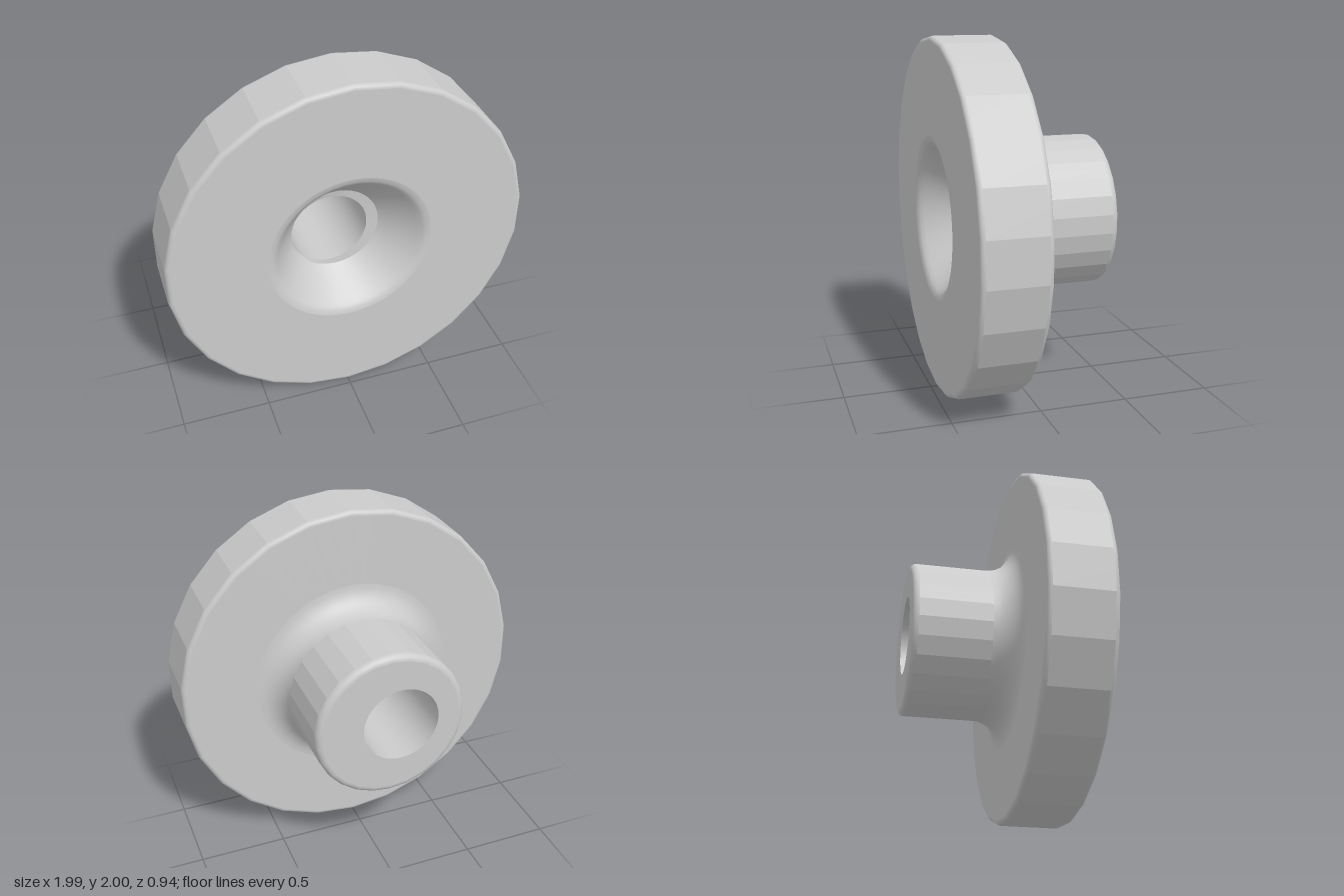
import * as THREE from 'three';

const SIDES = 26; // facets of the outer turned surfaces
const SEG = SIDES * 2; // the bore and recess are twice as fine
const BORE_X = -0.055; // the bore sits off centre
const BORE_R = 0.217;

// Ring of the profile: faceted rings follow the 26-sided outline
const facet = (r, z) => ({ r, z, cx: 0, faceted: true });
const round = (r, z, cx = 0) => ({ r, z, cx, faceted: false });

// Quarter arc in the (r, z) half plane, from angle a to angle b in degrees
function arc(r, z, radius, a, b, make, steps = 5) {
  return Array.from({ length: steps + 1 }, (_, i) => {
    const t = THREE.MathUtils.degToRad(a + ((b - a) * i) / steps);
    return make(r + radius * Math.cos(t), z + radius * Math.sin(t));
  });
}

// Skin a list of rings around the z axis
function loft(rings) {
  const pos = [], index = [];
  rings.forEach(({ r, z, cx, faceted }, i) => {
    for (let j = 0; j < SEG; j++) {
      const a = (j / SEG) * Math.PI * 2;
      const k = faceted && j % 2 ? r * Math.cos(Math.PI / SIDES) : r;
      pos.push(cx + k * Math.sin(a), 1 + k * Math.cos(a), z);
      if (i === rings.length - 1) continue;
      const n = (j + 1) % SEG;
      const A = i * SEG + j, B = i * SEG + n, C = A + SEG, D = B + SEG;
      index.push(A, B, C, B, D, C);
    }
  });
  const g = new THREE.BufferGeometry();
  g.setAttribute('position', new THREE.Float32BufferAttribute(pos, 3));
  g.setIndex(index);
  g.computeVertexNormals();
  return g;
}

export function createModel() {
  const group = new THREE.Group();
  const smooth = new THREE.MeshStandardMaterial({ color: 0xcccccc });
  const flat = new THREE.MeshStandardMaterial({ color: 0xcccccc, flatShading: true });
  const add = (name, rings, material = smooth) => {
    const mesh = new THREE.Mesh(loft(rings), material);
    mesh.name = name;
    group.add(mesh);
  };

  const front = 0.47, back = 0.105, end = -0.47;
  const bevel = 0.025, bossR = 0.43, fillet = 0.145, bossBevel = 0.035;

  // Through bore, and the countersunk recess leading into it
  add('bore', [round(BORE_R, end, BORE_X), round(BORE_R, 0.26, BORE_X)]);
  add('recessFloor', [round(BORE_R, 0.26, BORE_X), round(0.25, 0.265, -0.022)]);
  add('recessWall', [
    round(0.25, 0.265, -0.022), round(0.33, 0.355, -0.01), round(0.395, 0.43),
    round(0.415, 0.452), round(0.435, 0.465), round(0.46, front),
  ]);

  // Wide disc with softened edges
  add('discFrontFace', [round(0.46, front), facet(1 - bevel, front)]);
  add('discFrontEdge', arc(1 - bevel, front - bevel, bevel, 90, 0, facet));
  add('discRim', [facet(1, front - bevel), facet(1, back + bevel)], flat);
  add('discBackEdge', arc(1 - bevel, back + bevel, bevel, 0, -90, facet));
  add('discBackFace', [facet(1 - bevel, back), facet(bossR + fillet, back)]);

  // Boss behind the disc, joined by a concave fillet
  add('bossFillet', arc(bossR + fillet, back - fillet, fillet, 90, 180, facet, 8));
  add('bossWall', [facet(bossR, back - fillet), facet(bossR, end + bossBevel)], flat);
  add('bossEdge', arc(bossR - bossBevel, end + bossBevel, bossBevel, 0, -90, facet));
  add('bossEndFace', [facet(bossR - bossBevel, end), round(BORE_R, end, BORE_X)]);

  return group;
}
